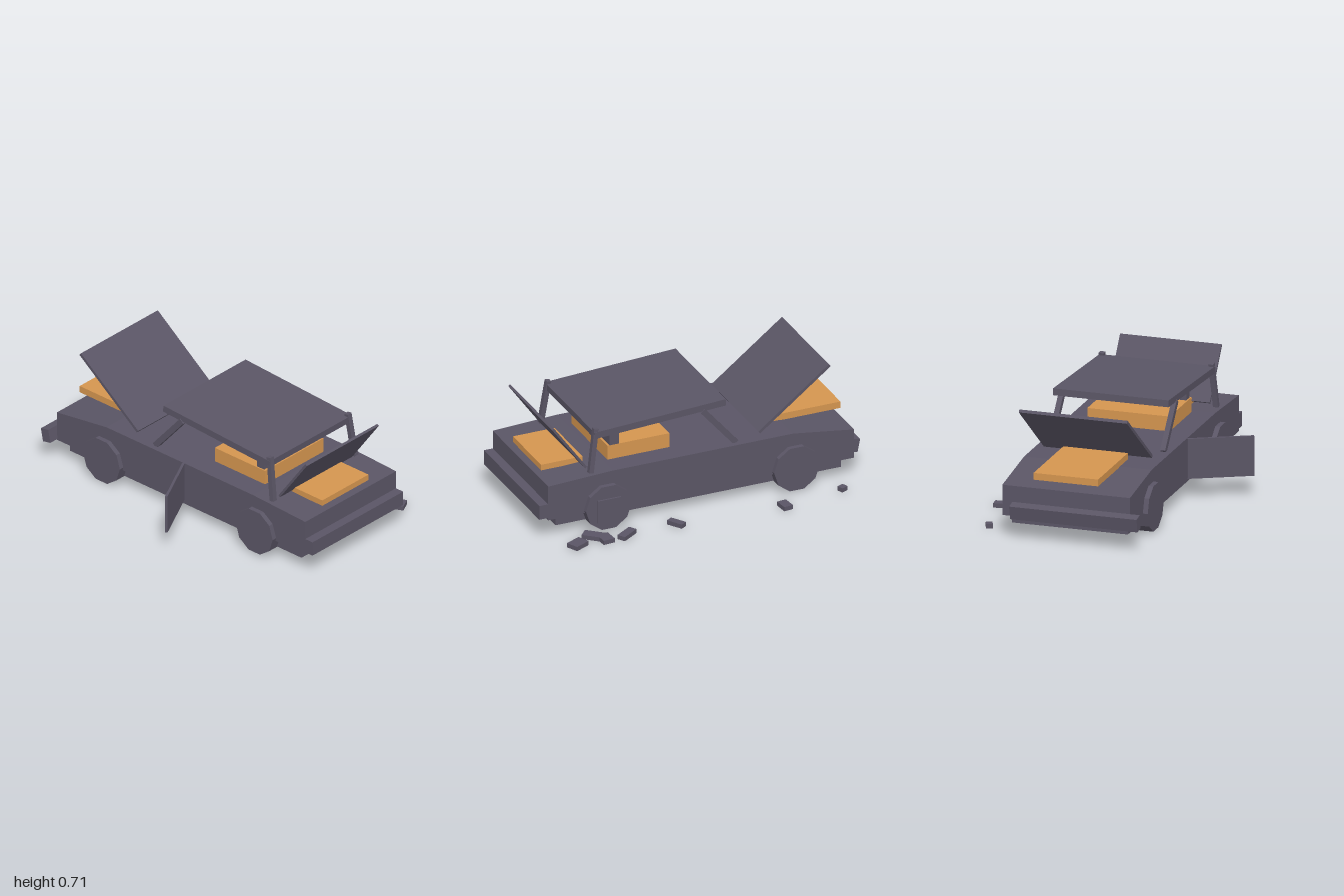
import * as THREE from 'three';

const paint = new THREE.MeshStandardMaterial({ color: 0x5a5565 });
paint.name = 'dull grey';
const tan = new THREE.MeshStandardMaterial({ color: 0xd4954f });
tan.name = 'tan';

const MID = -0.067; // centre line of the car across z

export function createModel() {
  const car = new THREE.Group();
  car.name = 'wreckedCar';

  const add = (name, geo, mat, x, y, z) => {
    const m = new THREE.Mesh(geo, mat);
    m.name = name;
    m.position.set(x, y, z);
    car.add(m);
    return m;
  };
  // Box from its limits on each axis
  const box = (name, mat, [x0, x1], [y0, y1], [z0, z1]) =>
    add(name, new THREE.BoxGeometry(x1 - x0, y1 - y0, z1 - z0), mat,
      (x0 + x1) / 2, (y0 + y1) / 2, (z0 + z1) / 2);
  // Slab whose length runs between two points of the side profile
  const slab = (name, [x0, y0], [x1, y1], thick, z0, z1) => {
    const len = Math.hypot(x1 - x0, y1 - y0);
    const m = add(name, new THREE.BoxGeometry(len, thick, z1 - z0), paint,
      (x0 + x1) / 2, (y0 + y1) / 2, (z0 + z1) / 2);
    m.rotation.z = Math.atan2(y1 - y0, x1 - x0);
    return m;
  };

  // Body with sloping nose and tail
  const profile = new THREE.Shape([
    [-0.935, 0.125], [0.945, 0.125], [0.945, 0.337], [0.55, 0.355], [-0.56, 0.355], [-0.935, 0.303],
  ].map(([x, y]) => new THREE.Vector2(x, y)));
  add('body', new THREE.ExtrudeGeometry(profile, { depth: 0.756, bevelEnabled: false }), paint, 0, 0, -0.445);
  box('chassis', paint, [-0.87, 0.885], [0.065, 0.127], [-0.41, 0.276]);

  // Bumpers, the front one hanging loose
  box('rearBumper', paint, [0.94, 1], [0.14, 0.226], [-0.445, 0.311]);
  const bumper = add('frontBumper', new THREE.BoxGeometry(0.057, 0.08, 0.755), paint, -0.965, 0.167, -0.005);
  bumper.rotation.z = 0.2;

  // Ten-sided wheels
  const wheelGeo = new THREE.CylinderGeometry(0.14, 0.14, 0.09, 10).toNonIndexed();
  wheelGeo.rotateY(Math.PI / 2);
  wheelGeo.rotateX(Math.PI / 2);
  wheelGeo.computeVertexNormals();
  for (const x of [-0.572, 0.585])
    for (const z of [0.295, -0.428]) add('wheel', wheelGeo, paint, x, 0.144, z);
  box('hubPlate', paint, [0.515, 0.655], [0.06, 0.2], [-0.483, -0.465]);

  // Sagging roof and its pillars
  slab('roof', [-0.163, 0.619], [0.642, 0.576], 0.04, -0.41, 0.275);
  for (const side of [1, -1]) {
    const zc = MID + side * 0.332;
    slab('frontPillar', [-0.225, 0.355], [-0.02, 0.595], 0.034, zc - 0.015, zc + 0.015);
    const rear = slab('rearPillar', [0.668, 0.35], [0.63, 0.613], 0.028, zc - 0.015, zc + 0.015);
    rear.rotation.order = 'XYZ';
    rear.rotation.x = -side * 0.06;
  }

  // Exposed interior
  box('seat', tan, [0.14, 0.52], [0.35, 0.442], [-0.31, 0.178]);
  box('seatBack', paint, [0.45, 0.506], [0.44, 0.575], [-0.31, 0.17]);
  box('engineBayPanel', tan, [-0.935, -0.42], [0.352, 0.392], [-0.26, 0.122]);
  box('trunkPanel', tan, [0.65, 0.905], [0.345, 0.38], [-0.26, 0.125]);

  // Open hood, trunk lid and door
  slab('hood', [-0.378, 0.373], [-0.812, 0.706], 0.018, -0.388, 0.253);
  slab('trunkLid', [0.677, 0.364], [0.88, 0.647], 0.014, -0.368, 0.233);
  const door = add('door', new THREE.BoxGeometry(0.378, 0.235, 0.015), paint, 0.118, 0.243, 0.488);
  door.rotation.y = -1.09;

  // Scattered debris: x, z, length, width, turn
  [
    [-0.81, -0.565, 0.042, 0.038, 0.4],
    [-0.43, -0.625, 0.056, 0.08, 0.1],
    [0.215, -0.575, 0.1, 0.042, -1.0],
    [0.523, -0.583, 0.12, 0.05, 0.58],
    [0.655, -0.585, 0.07, 0.085, 0.08],
    [0.7, -0.53, 0.13, 0.065, -0.72],
    [0.825, -0.583, 0.1, 0.075, 0.45],
  ].forEach(([x, z, l, w, turn]) => {
    add('debris', new THREE.BoxGeometry(l, 0.026, w), paint, x, 0.015, z).rotation.y = turn;
  });

  return car;
}
